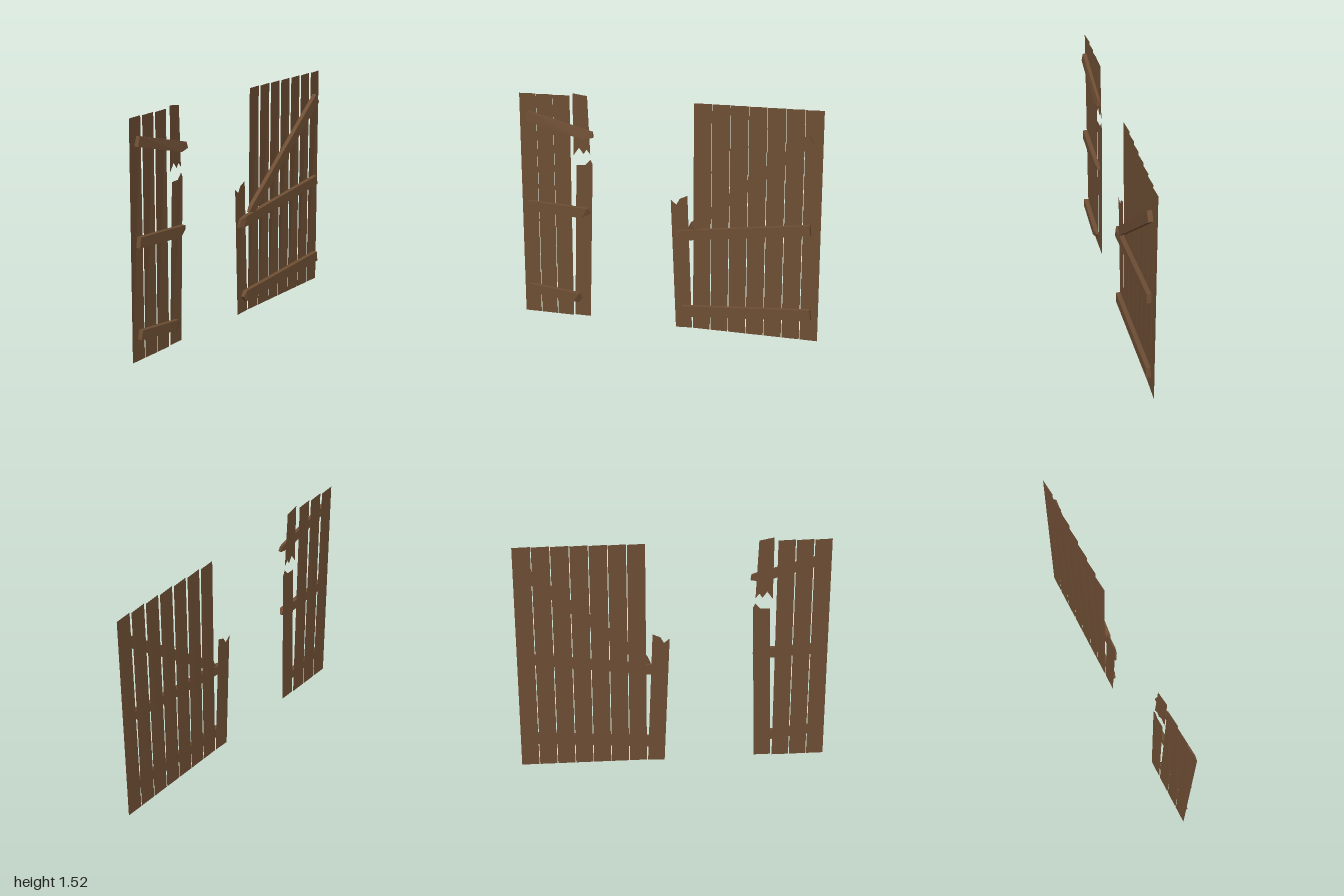
import * as THREE from 'three';
import { ConvexGeometry } from 'three/addons/geometries/ConvexGeometry.js';

const BACK = -0.021, FRONT = 0.021, BATTEN_BACK = -0.009;

export function createModel() {
  const wood = new THREE.MeshStandardMaterial({ color: 0x6e4e34, side: THREE.DoubleSide });
  wood.name = 'weathered wood';
  const root = new THREE.Group();
  root.name = 'brokenGate';

  const v2 = (p) => new THREE.Vector2(p[0], p[1]);

  // Thin board: flat at the foot, its left edge twisting forward towards the top
  function plank(parent, name, outline) {
    const geo = new THREE.ShapeGeometry(new THREE.Shape(outline.map(v2)));
    const xs = outline.map((p) => p[0]);
    const x0 = Math.min(...xs), width = Math.max(...xs) - x0;
    const pos = geo.attributes.position;
    for (let i = 0; i < pos.count; i++) {
      const u = (pos.getX(i) - x0) / width;
      pos.setZ(i, BACK + 0.010 * (1 - u) * pos.getY(i) / 1.5);
    }
    const flat = geo.toNonIndexed();
    flat.computeVertexNormals();
    const mesh = new THREE.Mesh(flat, wood);
    mesh.name = name;
    parent.add(mesh);
  }

  // Row of whole boards
  function plankRow(parent, start, count, pitch) {
    for (let i = 0; i < count; i++) {
      const a = start + i * pitch, b = a + pitch - 0.005;
      plank(parent, 'plank' + (i + 1), [[a, 0.005], [b, 0.005], [b, 1.505], [a, 1.505]]);
    }
  }

  // Batten: body corners run from back to front, splintered tip points lie lower.
  // A third value on a corner sets the height of its front edge.
  function batten(parent, name, body, tip) {
    const pts = [];
    for (const [x, y, z = FRONT] of body) {
      pts.push(new THREE.Vector3(x, y, BATTEN_BACK), new THREE.Vector3(x, y, z));
    }
    for (const [x, y, z = 0.004] of tip) {
      pts.push(new THREE.Vector3(x, y, BATTEN_BACK), new THREE.Vector3(x, y, z));
    }
    const mesh = new THREE.Mesh(new ConvexGeometry(pts), wood);
    mesh.name = name;
    parent.add(mesh);
  }

  // Narrow leaf
  const narrow = new THREE.Group();
  narrow.name = 'narrowLeaf';
  root.add(narrow);
  plankRow(narrow, -1, 3, 0.1165);
  plank(narrow, 'snappedPlankTop', [
    [-0.632, 1.115], [-0.595, 1.165], [-0.565, 1.125], [-0.545, 1.155],
    [-0.52, 1.125], [-0.535, 1.508], [-0.632, 1.523]]);
  plank(narrow, 'snappedPlankBottom', [
    [-0.645, 0.01], [-0.535, 0.01], [-0.505, 1.06], [-0.52, 1.09],
    [-0.555, 1.052], [-0.615, 1.05]]);
  batten(narrow, 'topBatten',
    [[-0.94, 1.395, 0.016], [-0.96, 1.335], [-0.56, 1.23], [-0.525, 1.287, 0.008]],
    [[-0.49, 1.243, 0.012], [-0.495, 1.28]]);
  batten(narrow, 'middleBatten',
    [[-0.95, 0.79], [-0.962, 0.725], [-0.575, 0.702], [-0.535, 0.768]],
    [[-0.513, 0.735]]);
  batten(narrow, 'bottomBatten',
    [[-0.95, 0.21], [-0.963, 0.152], [-0.64, 0.115], [-0.605, 0.175]],
    [[-0.59, 0.145], [-0.61, 0.11]]);

  // Wide leaf
  const wide = new THREE.Group();
  wide.name = 'wideLeaf';
  root.add(wide);
  plankRow(wide, 0.177, 7, 0.1182);
  plank(wide, 'snappedPlank', [
    [0.06, 0], [0.17, 0.005], [0.135, 0.9], [0.085, 0.878],
    [0.062, 0.838], [0.043, 0.852], [0.025, 0.867]]);
  batten(wide, 'diagonalBrace',
    [[0.91, 1.357], [0.947, 1.3], [0.2, 0.687], [0.168, 0.735]],
    [[0.147, 0.692, 0.012]]);
  batten(wide, 'middleBatten',
    [[0.935, 0.78], [0.943, 0.717], [0.08, 0.607], [0.105, 0.677]],
    [[0.04, 0.61, 0], [0.06, 0.663, 0.008]]);
  batten(wide, 'bottomBatten',
    [[0.95, 0.222], [0.96, 0.153], [0.11, 0.092], [0.11, 0.163]],
    [[0.083, 0.126, 0.012]]);

  return root;
}
